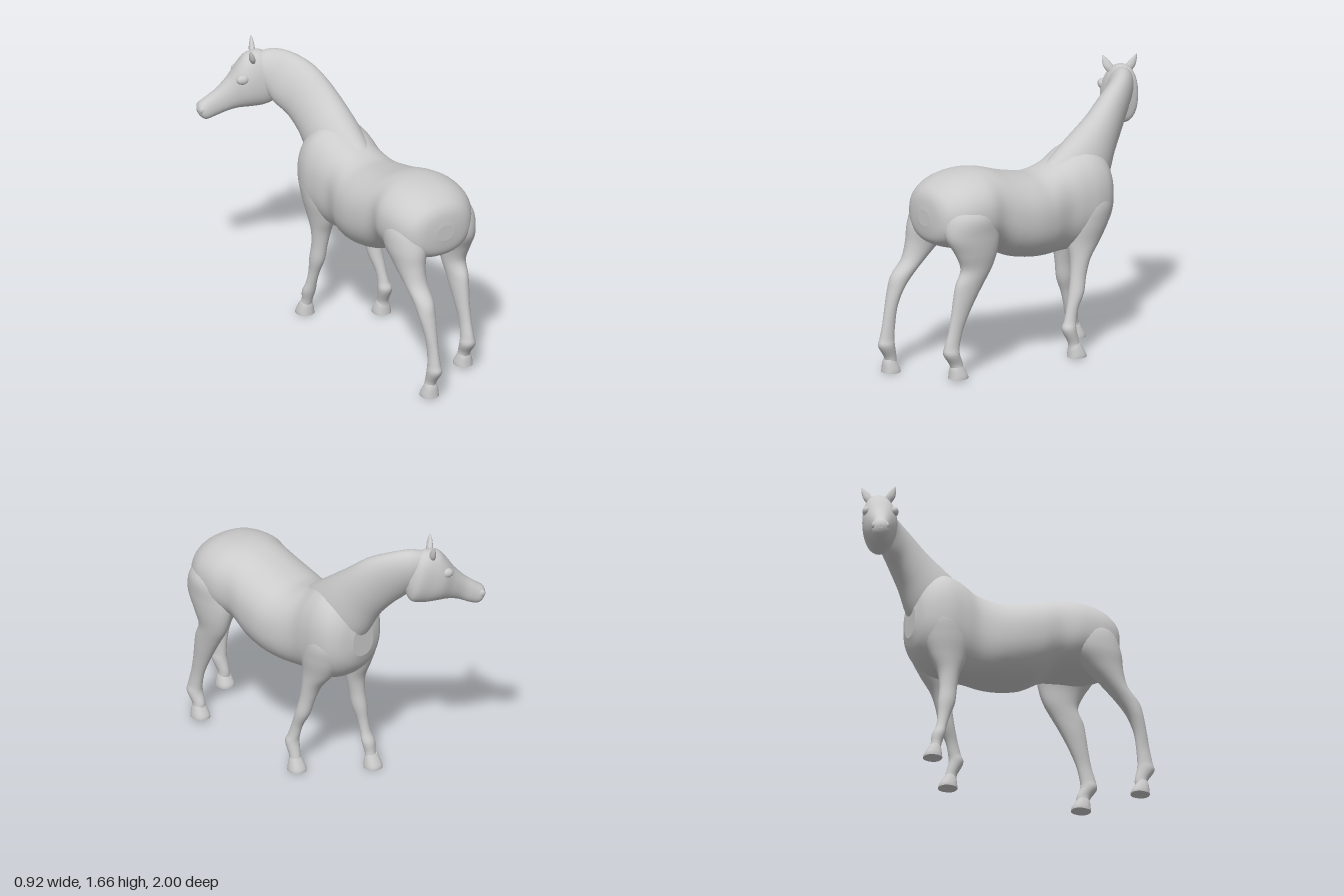
import * as THREE from 'three';

const material = new THREE.MeshStandardMaterial({ color: 0xcccccc });

// Smooth skin through rings. Station: [top xyz, bottom xyz, half width, side angle].
function loft(name, stations, { power = 2, sides = 32, steps = 6 } = {}) {
  const pos = [], index = [], rings = [];
  const last = stations.length - 1;
  const at = (i) => stations[Math.min(last, Math.max(0, i))];
  const cubic = (p, q, r, s, t) => {
    const m0 = (r - p) / 2, m1 = (s - q) / 2, d = q - r;
    return ((2 * d + m0 + m1) * t + (-3 * d - 2 * m0 - m1)) * t * t + m0 * t + q;
  };
  for (let k = 0; k <= last * steps; k++) {
    const i = Math.min(last - 1, Math.floor(k / steps)), t = k / steps - i;
    rings.push(at(i).map((q, j) => cubic(at(i - 1)[j], q, at(i + 1)[j], at(i + 2)[j], t)));
  }
  const round = (v) => Math.sign(v) * Math.abs(v) ** (2 / power);
  const addRing = ([ax, ay, az, bx, by, bz, w, angle]) => {
    for (let j = 0; j < sides; j++) {
      const a = (j / sides) * Math.PI * 2;
      const u = round(Math.cos(a)) / 2, v = round(Math.sin(a)) * w;
      pos.push((ax + bx) / 2 + (ax - bx) * u + Math.cos(angle) * v,
        (ay + by) / 2 + (ay - by) * u,
        (az + bz) / 2 + (az - bz) * u + Math.sin(angle) * v);
    }
  };
  rings.forEach(addRing);
  for (let k = 0; k < rings.length - 1; k++) {
    for (let j = 0; j < sides; j++) {
      const a = k * sides + j, b = k * sides + (j + 1) % sides;
      index.push(a, b, a + sides, b, b + sides, a + sides);
    }
  }
  // end caps
  [rings[0], rings[rings.length - 1]].forEach((r, end) => {
    const start = pos.length / 3;
    addRing(r);
    const c = pos.length / 3;
    pos.push((r[0] + r[3]) / 2, (r[1] + r[4]) / 2, (r[2] + r[5]) / 2);
    for (let j = 0; j < sides; j++) {
      const a = start + j, b = start + (j + 1) % sides;
      index.push(...(end ? [a, b, c] : [b, a, c]));
    }
  });
  // turn the skin outward if its enclosed volume is negative
  const p = (i) => new THREE.Vector3().fromArray(pos, i * 3);
  let volume = 0;
  for (let i = 0; i < index.length; i += 3) {
    volume += p(index[i]).dot(p(index[i + 1]).cross(p(index[i + 2])));
  }
  if (volume < 0) index.reverse();
  const geometry = new THREE.BufferGeometry();
  geometry.setAttribute('position', new THREE.Float32BufferAttribute(pos, 3));
  geometry.setIndex(index);
  geometry.computeVertexNormals();
  const mesh = new THREE.Mesh(geometry, material);
  mesh.name = name;
  return mesh;
}

// Leg rows: [y, front z, back z, centre x, half width]
const legRings = (rows) => rows.map(([y, f, b, x, w]) => [x, y, f, x, y, b, w, 0]);

// Hoof: short flared block under a leg
function hoof(name, x, front, back, y) {
  return loft(name, legRings([
    [y, front, back, x, 0.054], [y + 0.02, front + 0.003, back - 0.002, x, 0.053],
    [y + 0.06, front + 0.025, back - 0.006, x, 0.043], [y + 0.085, front + 0.04, back - 0.015, x, 0.034],
  ]), { power: 2.3, steps: 3 });
}

function ellipsoid(name, p, s, turn = 0) {
  const m = new THREE.Mesh(new THREE.SphereGeometry(1, 20, 14), material);
  m.name = name;
  m.position.set(...p);
  m.scale.set(...s);
  m.rotation.y = turn;
  return m;
}

export function createModel() {
  const horse = new THREE.Group();
  horse.name = 'horse';

  // Barrel, rump and chest: [z, top, bottom, centre x, half width]
  const trunk = [
    [0.8, 1.04, 0.94, 0.15, 0.06], [0.785, 1.12, 0.86, 0.15, 0.16], [0.74, 1.175, 0.82, 0.15, 0.225],
    [0.64, 1.225, 0.79, 0.155, 0.275], [0.5, 1.245, 0.78, 0.155, 0.288], [0.38, 1.235, 0.755, 0.155, 0.262],
    [0.25, 1.195, 0.68, 0.15, 0.272], [0.12, 1.163, 0.647, 0.148, 0.274], [0, 1.15, 0.635, 0.145, 0.255],
    [-0.13, 1.19, 0.637, 0.143, 0.22], [-0.24, 1.25, 0.637, 0.135, 0.23], [-0.34, 1.27, 0.65, 0.13, 0.237],
    [-0.43, 1.23, 0.7, 0.13, 0.215], [-0.49, 1.15, 0.77, 0.125, 0.16], [-0.52, 1.05, 0.85, 0.12, 0.08],
  ];
  horse.add(loft('body', trunk.map(([z, t, b, x, w]) => [x, t, z, x, b, z, w, 0]),
    { power: 2.25, sides: 48 }));

  // Neck curving up and to one side
  horse.add(loft('neck', [
    [0.16, 1.15, -0.06, 0.14, 0.86, -0.42, 0.13, 0],
    [0.16, 1.285, -0.24, 0.11, 0.99, -0.52, 0.145, -0.1],
    [0.155, 1.42, -0.42, 0.065, 1.13, -0.59, 0.122, -0.2],
    [0.125, 1.53, -0.56, 0.015, 1.225, -0.66, 0.102, -0.35],
    [0.06, 1.595, -0.69, -0.04, 1.29, -0.72, 0.09, -0.5],
    [-0.03, 1.618, -0.78, -0.08, 1.36, -0.77, 0.082, -0.75],
    [-0.12, 1.59, -0.83, -0.12, 1.42, -0.81, 0.06, -1],
  ]));

  // Head: broad cheek tapering to the muzzle
  const s = -1.18;
  horse.add(loft('head', [
    [-0.02, 1.53, -0.78, 0.0, 1.36, -0.76, 0.05, s],
    [-0.08, 1.605, -0.82, -0.015, 1.29, -0.78, 0.085, s],
    [-0.17, 1.6, -0.85, -0.08, 1.265, -0.8, 0.1, s],
    [-0.225, 1.545, -0.865, -0.16, 1.262, -0.83, 0.102, s],
    [-0.28, 1.46, -0.885, -0.235, 1.258, -0.86, 0.075, s],
    [-0.345, 1.385, -0.91, -0.3, 1.24, -0.885, 0.056, s],
    [-0.405, 1.335, -0.935, -0.355, 1.213, -0.915, 0.052, s],
    [-0.443, 1.305, -0.95, -0.405, 1.197, -0.935, 0.052, s],
    [-0.456, 1.28, -0.955, -0.435, 1.215, -0.95, 0.034, s],
    [-0.458, 1.262, -0.955, -0.452, 1.24, -0.955, 0.012, s],
  ], { power: 2.2 }));

  // Brows and nostril swellings on both sides of the head
  for (const side of [-1, 1]) {
    const off = (c, d) => [c[0] + 0.38 * d * side, c[1], c[2] - 0.92 * d * side];
    horse.add(ellipsoid('brow', off([-0.215, 1.47, -0.855], 0.084), [0.038, 0.03, 0.024], -0.4));
    horse.add(ellipsoid('nostril', off([-0.43, 1.27, -0.947], 0.04), [0.02, 0.022, 0.014], -0.4));
  }

  // Ears: tapered leaf shapes
  const ear = (bx, bz, tx, ty, tz, angle) => loft('ear', [0, 0.3, 0.65, 0.9, 1].map((t, i) => {
    const w = [0.024, 0.031, 0.022, 0.009, 0.002][i];
    const x = bx + (tx - bx) * t, y = 1.56 + (ty - 1.56) * t, z = bz + (tz - bz) * t;
    const dx = Math.sin(angle) * w * 0.6, dz = -Math.cos(angle) * w * 0.6;
    return [x + dx, y, z + dz, x - dx, y, z - dz, w, angle];
  }), { sides: 16, steps: 4 });
  horse.add(ear(-0.115, -0.87, -0.09, 1.668, -0.92, s));
  horse.add(ear(-0.165, -0.79, -0.205, 1.658, -0.755, s));

  // Hind legs
  horse.add(loft('rightHindLeg', legRings([
    [0.07, 0.875, 0.945, -0.04, 0.038], [0.11, 0.875, 0.955, -0.035, 0.034], [0.18, 0.89, 0.998, -0.03, 0.043],
    [0.23, 0.893, 0.988, -0.03, 0.036], [0.32, 0.885, 0.968, -0.03, 0.032], [0.42, 0.868, 0.948, -0.033, 0.039],
    [0.52, 0.825, 0.925, -0.035, 0.052], [0.6, 0.76, 0.9, -0.033, 0.059], [0.69, 0.67, 0.825, -0.032, 0.068],
    [0.79, 0.56, 0.795, -0.03, 0.087], [0.9, 0.46, 0.785, -0.02, 0.117], [1.02, 0.45, 0.75, 0.0, 0.125],
    [1.12, 0.5, 0.7, 0.03, 0.08],
  ])), hoof('rightHindHoof', -0.04, 0.848, 0.962, 0.01));
  horse.add(loft('leftHindLeg', legRings([
    [0.085, 0.66, 0.735, 0.348, 0.04], [0.12, 0.662, 0.75, 0.348, 0.037], [0.18, 0.685, 0.788, 0.348, 0.047],
    [0.23, 0.683, 0.782, 0.348, 0.038], [0.32, 0.66, 0.756, 0.35, 0.033], [0.42, 0.615, 0.735, 0.35, 0.04],
    [0.52, 0.56, 0.72, 0.352, 0.05], [0.6, 0.51, 0.705, 0.355, 0.056], [0.69, 0.455, 0.67, 0.358, 0.064],
    [0.79, 0.42, 0.71, 0.36, 0.08], [0.9, 0.4, 0.77, 0.345, 0.105], [1.02, 0.42, 0.76, 0.32, 0.128],
    [1.12, 0.5, 0.7, 0.29, 0.08],
  ])), hoof('leftHindHoof', 0.348, 0.628, 0.748, 0.025));

  // Front legs running up into the shoulders
  horse.add(loft('rightFrontLeg', legRings([
    [0.07, -0.455, -0.39, -0.03, 0.038], [0.11, -0.445, -0.38, -0.028, 0.034], [0.17, -0.437, -0.36, -0.026, 0.042],
    [0.23, -0.41, -0.345, -0.022, 0.033], [0.31, -0.395, -0.32, -0.016, 0.033], [0.4, -0.39, -0.285, -0.008, 0.045],
    [0.5, -0.378, -0.27, 0.0, 0.047], [0.6, -0.385, -0.25, 0.007, 0.06], [0.7, -0.43, -0.21, 0.01, 0.08],
    [0.82, -0.475, -0.18, 0.015, 0.11], [0.95, -0.49, -0.2, 0.025, 0.125], [1.1, -0.43, -0.24, 0.05, 0.08],
  ])), hoof('rightFrontHoof', -0.03, -0.493, -0.38, 0.008));
  horse.add(loft('leftFrontLeg', legRings([
    [0.075, -0.2, -0.125, 0.345, 0.038], [0.11, -0.192, -0.12, 0.343, 0.034], [0.19, -0.172, -0.083, 0.338, 0.043],
    [0.24, -0.178, -0.1, 0.333, 0.034], [0.31, -0.197, -0.122, 0.326, 0.033], [0.4, -0.243, -0.148, 0.315, 0.045],
    [0.5, -0.27, -0.17, 0.3, 0.047], [0.6, -0.31, -0.18, 0.285, 0.06], [0.7, -0.39, -0.17, 0.268, 0.08],
    [0.82, -0.46, -0.16, 0.255, 0.11], [0.95, -0.49, -0.19, 0.24, 0.125], [1.1, -0.43, -0.24, 0.22, 0.08],
  ])), hoof('leftFrontHoof', 0.345, -0.235, -0.12, 0.015));

  return horse;
}
